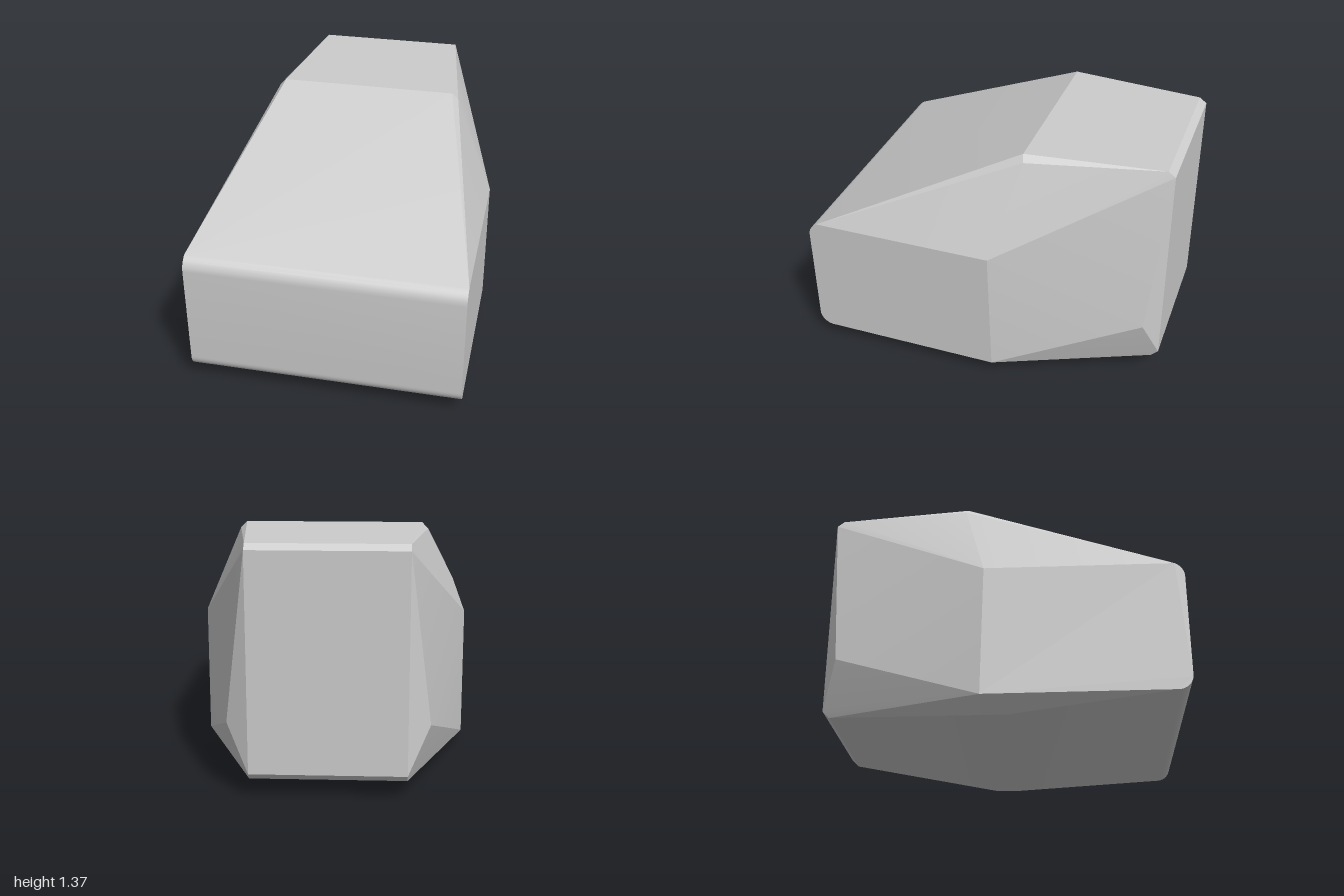
import * as THREE from 'three';
import { ConvexGeometry } from 'three/addons/geometries/ConvexGeometry.js';
import { toCreasedNormals } from 'three/addons/utils/BufferGeometryUtils.js';

export function createModel() {
  const group = new THREE.Group();
  group.name = 'facetedBlock';
  const grey = new THREE.MeshStandardMaterial({ color: 0xcccccc });
  grey.name = 'light grey';

  // Corner points of the +x half; every one is mirrored to -x
  const half = [
    // roof and its narrow side bevel
    [0.5, 1.365, -0.2], [0.535, 1.33, -0.21], [0.42, 1.365, -0.96],
    // flat back with bevelled top and bottom edges
    [0.42, 1.335, -1], [0.42, 0.14, -1], [0.42, 0.1, -0.96],
    // bulge at the rear corner
    [0.54, 0.4, -0.92],
    // widest line of the side
    [0.765, 0.82, -0.085], [0.765, 0.08, -0.1],
    // lowest part of the underside
    [0.67, 0, 0.04], [0.67, 0, -0.1],
  ];

  // Rounded front edges: centre y, centre z, radius, start and end angle
  const roundEdge = (y, z, r, from, to, steps) => {
    for (let i = 0; i <= steps; i++) {
      const a = THREE.MathUtils.degToRad(from + (to - from) * i / steps);
      half.push([0.765, y + r * Math.sin(a), z + r * Math.cos(a)]);
    }
  };
  roundEdge(0.735, 0.91, 0.09, 0, 64.5, 8);
  roundEdge(0.16, 0.92, 0.08, -94, 0, 12);

  const points = half.flatMap(([x, y, z]) => [
    new THREE.Vector3(x, y, z), new THREE.Vector3(-x, y, z),
  ]);

  // Hull closed around the points, soft only across the rounded edges
  const body = new THREE.Mesh(toCreasedNormals(new ConvexGeometry(points), 0.17), grey);
  body.name = 'body';
  group.add(body);
  return group;
}
